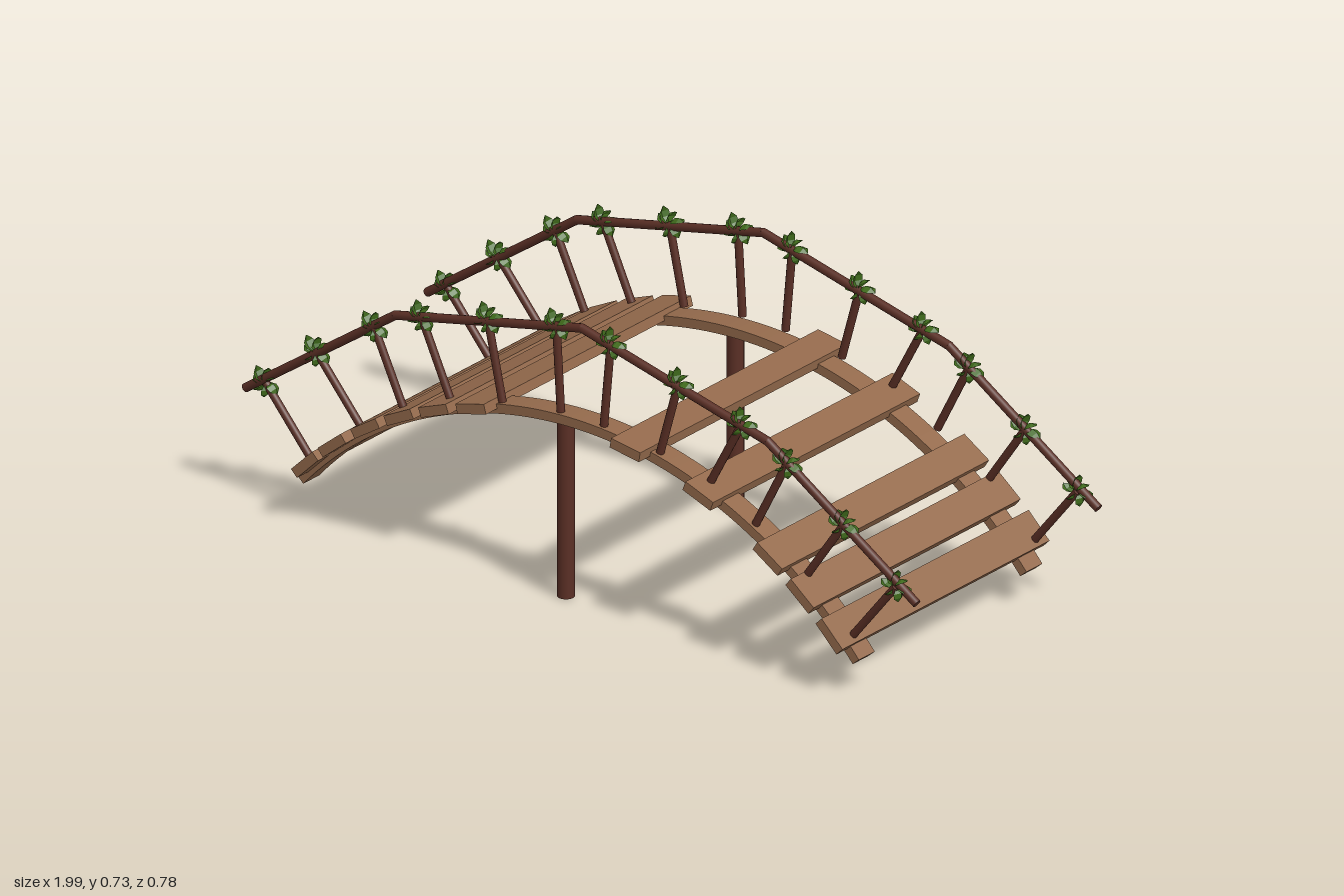
import * as THREE from 'three';

const material = (name, color, side = THREE.FrontSide) =>
  new THREE.MeshStandardMaterial({ name, color, side });

// Arc of the bridge: centre height and walking-surface radius
const CY = -0.625, R = 1.1;
const arcY = (x, r = R) => CY + Math.sqrt(r * r - x * x);

export function createModel() {
  const plankWood = material('plank wood', 0x946a4c);
  const darkWood = material('dark wood', 0x5a2f25);
  const leafGreen = material('leaf green', 0x3f6a1b, THREE.DoubleSide);
  const model = new THREE.Group();
  model.name = 'gardenBridge';

  const add = (parent, name, geometry, mat) => {
    const mesh = new THREE.Mesh(geometry, mat);
    mesh.name = name;
    parent.add(mesh);
    return mesh;
  };

  // Round pole between two points in the plane of one railing
  const up = new THREE.Vector3(0, 1, 0);
  const pole = (parent, name, a, b, radius) => {
    const p = new THREE.Vector3(a[0], a[1], 0), q = new THREE.Vector3(b[0], b[1], 0);
    const mesh = add(parent, name, new THREE.CylinderGeometry(radius, radius, p.distanceTo(q), 12), darkWood);
    mesh.position.copy(p).add(q).multiplyScalar(0.5);
    mesh.quaternion.setFromUnitVectors(up, q.sub(p).normalize());
    return mesh;
  };

  // Curved beams under both sides of the deck
  const beamShape = new THREE.Shape();
  const a0 = Math.PI / 2 - 0.858, a1 = Math.PI / 2 + 0.847;
  beamShape.absarc(0, CY, R, a0, a1, false);
  beamShape.absarc(0, CY, R - 0.024, a1, a0, true);
  const beamGeo = new THREE.ExtrudeGeometry(beamShape, { depth: 0.06, bevelEnabled: false, curveSegments: 32 });
  for (const z of [0.288, -0.343]) add(model, 'beam', beamGeo, plankWood).position.z = z;

  // Deck planks, tilted to follow the arc
  const plankGeo = new THREE.BoxGeometry(0.087, 0.025, 0.78);
  for (const x of [-0.77, -0.69, -0.592, -0.493, -0.39, -0.28, 0.175, 0.39, 0.595, 0.69, 0.777]) {
    const plank = add(model, 'plank', plankGeo, plankWood);
    plank.position.set(x, arcY(x), 0);
    plank.rotation.z = -Math.asin(x / R);
  }

  // Supporting posts
  for (const z of [0.317, -0.321]) {
    const post = add(model, 'supportPost', new THREE.CylinderGeometry(0.021, 0.021, 0.46, 20), darkWood);
    post.position.set(-0.056, 0.23, z);
  }

  // Folded leaf blade pointing along +x, ridge in the middle
  const leafGeo = new THREE.BufferGeometry();
  const sections = [[0.004, 0.006, 0.006], [0.018, 0.014, 0.018], [0.032, 0.013, 0.017], [0.046, 0.002, 0.001]];
  const pos = [], index = [];
  for (const [x, y, w] of sections) pos.push(x, y - w * 0.55, w, x, y, 0, x, y - w * 0.55, -w);
  for (let i = 0; i < sections.length - 1; i++) {
    for (let j = 0; j < 2; j++) {
      const k = i * 3 + j;
      index.push(k, k + 3, k + 1, k + 1, k + 3, k + 4);
    }
  }
  leafGeo.setAttribute('position', new THREE.Float32BufferAttribute(pos, 3));
  leafGeo.setIndex(index);
  const flatLeaf = leafGeo.toNonIndexed();
  flatLeaf.computeVertexNormals();

  // Tuft of leaves around a railing joint: [angle, length scale]
  const blades = [[0.15, 0.95], [0.95, 0.85], [1.75, 1], [2.5, 0.85], [3.3, 0.95], [4.2, 0.8], [5.2, 0.85]];
  const tuft = (parent, x, y, turn) => {
    const group = new THREE.Group();
    group.name = 'leafTuft';
    group.position.set(x, y, 0);
    group.rotation.z = turn;
    blades.forEach(([angle, s], i) => {
      const leaf = add(group, 'leaf', flatLeaf, leafGreen);
      leaf.rotation.z = angle;
      leaf.scale.set(s, 0.9, 1);
      leaf.position.z = (i % 3 - 1) * 0.003;
    });
    parent.add(group);
  };

  // Railings: handrail poles, slanted balusters and leaf tufts
  const rail = [[-0.99, 0.275], [-0.548, 0.583], [0.002, 0.703], [0.55, 0.567], [0.99, 0.275]];
  const balusters = [ // bottom x, top x, top y
    [-0.79, -0.93, 0.305], [-0.645, -0.78, 0.425], [-0.52, -0.61, 0.535], [-0.382, -0.47, 0.598],
    [-0.232, -0.275, 0.648], [-0.06, -0.073, 0.688], [0.067, 0.087, 0.685], [0.233, 0.286, 0.638],
    [0.377, 0.473, 0.588], [0.515, 0.607, 0.525], [0.662, 0.773, 0.415], [0.795, 0.928, 0.302],
  ];
  for (const z of [0.331, -0.353]) {
    const railing = new THREE.Group();
    railing.name = 'railing';
    railing.position.z = z;
    for (let i = 0; i < 4; i++) pole(railing, 'handrail', rail[i], rail[i + 1], 0.011);
    for (const [x, y] of rail.slice(1, 4)) {
      add(railing, 'railJoint', new THREE.SphereGeometry(0.011, 10, 8), darkWood).position.set(x, y, 0);
    }
    balusters.forEach(([bx, tx, ty], i) => {
      pole(railing, 'baluster', [bx, arcY(bx)], [tx, ty], 0.01);
      tuft(railing, tx, ty, -tx * 0.6 + (i % 3 - 1) * 0.15);
    });
    model.add(railing);
  }
  return model;
}
